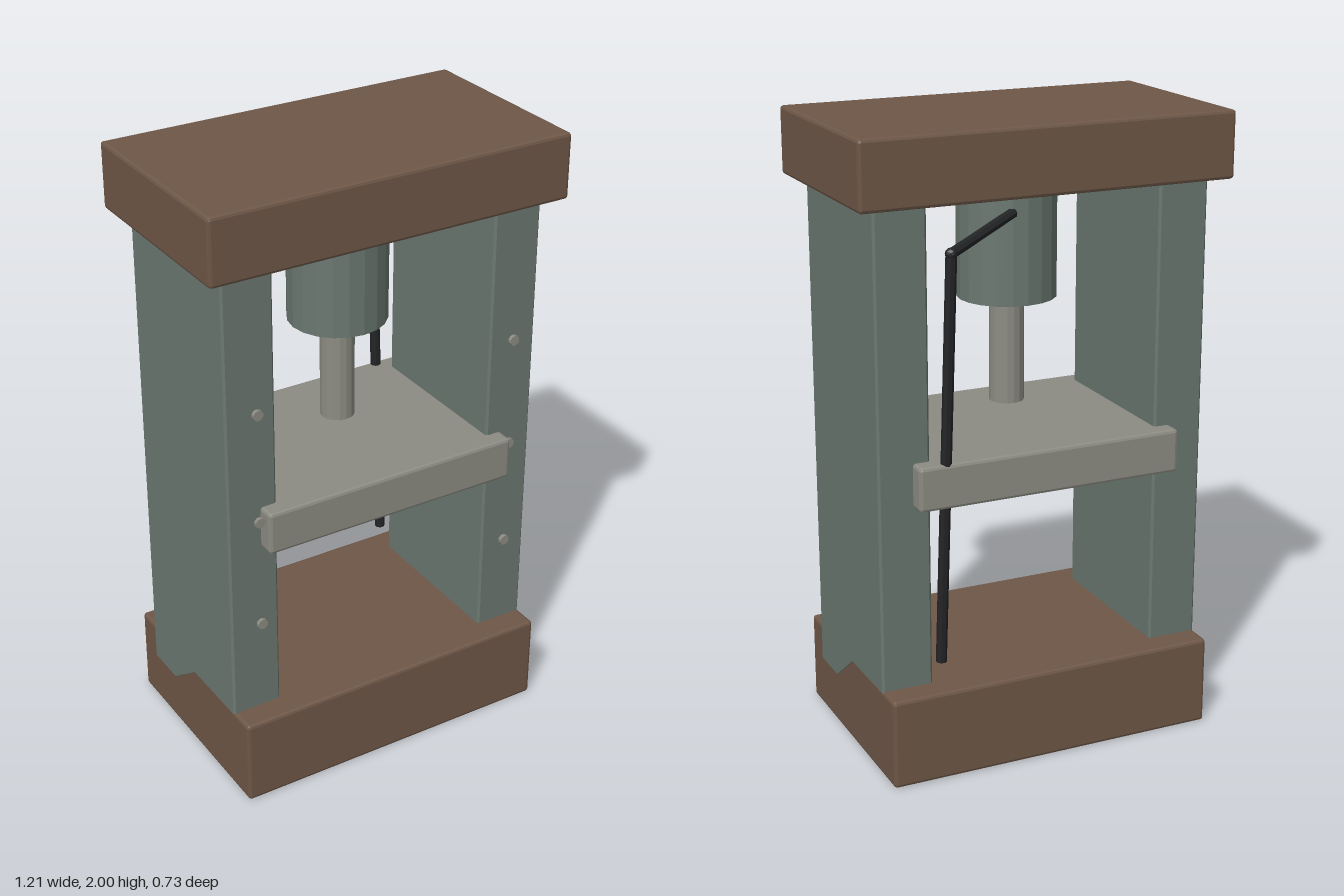
import * as THREE from 'three';
import { RoundedBoxGeometry } from 'three/addons/geometries/RoundedBoxGeometry.js';

const mat = (color) => new THREE.MeshStandardMaterial({ color, flatShading: true });

export function createModel() {
  const model = new THREE.Group();
  model.name = 'hydraulicPress';
  const brown = mat(0x6e5747), green = mat(0x6b7871), steel = mat(0x8d8c83), dark = mat(0x232426);

  const add = (name, geometry, material, x = 0, y = 0, z = 0) => {
    const mesh = new THREE.Mesh(geometry, material);
    mesh.name = name;
    mesh.position.set(x, y, z);
    model.add(mesh);
    return mesh;
  };
  // Block with a narrow single-step bevel
  const block = (name, w, y0, y1, d, material) =>
    add(name, new RoundedBoxGeometry(w, y1 - y0, d, 1, 0.01), material, 0, (y0 + y1) / 2, 0);
  const cylinder = (name, r, y0, y1, sides, material) =>
    add(name, new THREE.CylinderGeometry(r, r, y1 - y0, sides), material, 0, (y0 + y1) / 2, 0);
  // Straight rod between two points
  const rod = (name, a, b, r) => {
    const dir = b.clone().sub(a);
    const mesh = add(name, new THREE.CylinderGeometry(r, r, dir.length(), 8), dark);
    mesh.position.copy(a).add(b).multiplyScalar(0.5);
    mesh.quaternion.setFromUnitVectors(new THREE.Vector3(0, 1, 0), dir.normalize());
  };

  // Base, top beam and work table
  block('base', 1.09, 0, 0.29, 0.726, brown);
  block('topBeam', 1.212, 1.79, 2, 0.664, brown);
  block('workTable', 0.872, 0.875, 1.015, 0.666, steel);

  // Columns: side profile with a stepped foot let into the base
  const profile = new THREE.Shape([
    [0.278, 0.165], [0.278, 1.8], [-0.278, 1.8], [-0.278, 0.28], [-0.015, 0.275], [0.13, 0.165],
  ].map(([z, y]) => new THREE.Vector2(z, y)));
  const width = 0.166, bevel = 0.007;
  const columnGeometry = new THREE.ExtrudeGeometry(profile, {
    depth: width - 2 * bevel, bevelThickness: bevel, bevelSize: bevel,
    bevelOffset: -bevel, bevelSegments: 1,
  });
  columnGeometry.translate(0, 0, bevel - width / 2).rotateY(-Math.PI / 2);
  add('leftColumn', columnGeometry, green, 0.4635);
  add('rightColumn', columnGeometry, green, -0.4635).rotation.y = Math.PI;

  // Bolt heads on the column fronts
  const boltGeometry = new THREE.CylinderGeometry(0.017, 0.017, 0.012, 10).rotateX(Math.PI / 2);
  for (const x of [-0.452, 0.452])
    for (const y of [0.615, 0.98, 1.345]) add('bolt', boltGeometry, steel, x, y, 0.302);

  // Hydraulic cylinder and ram
  cylinder('pressCylinder', 0.157, 1.42, 1.8, 20, green);
  cylinder('ram', 0.055, 1.08, 1.43, 16, steel);

  // Bent pump lever at the back
  const elbow = new THREE.Vector3(0.327, 1.652, -0.328);
  rod('leverArm', new THREE.Vector3(0.045, 1.708, -0.14), elbow, 0.017);
  rod('leverHandle', elbow, new THREE.Vector3(0.362, 0.37, -0.303), 0.017);
  add('leverElbow', new THREE.IcosahedronGeometry(0.019, 1), dark, elbow.x, elbow.y, elbow.z);

  return model;
}
